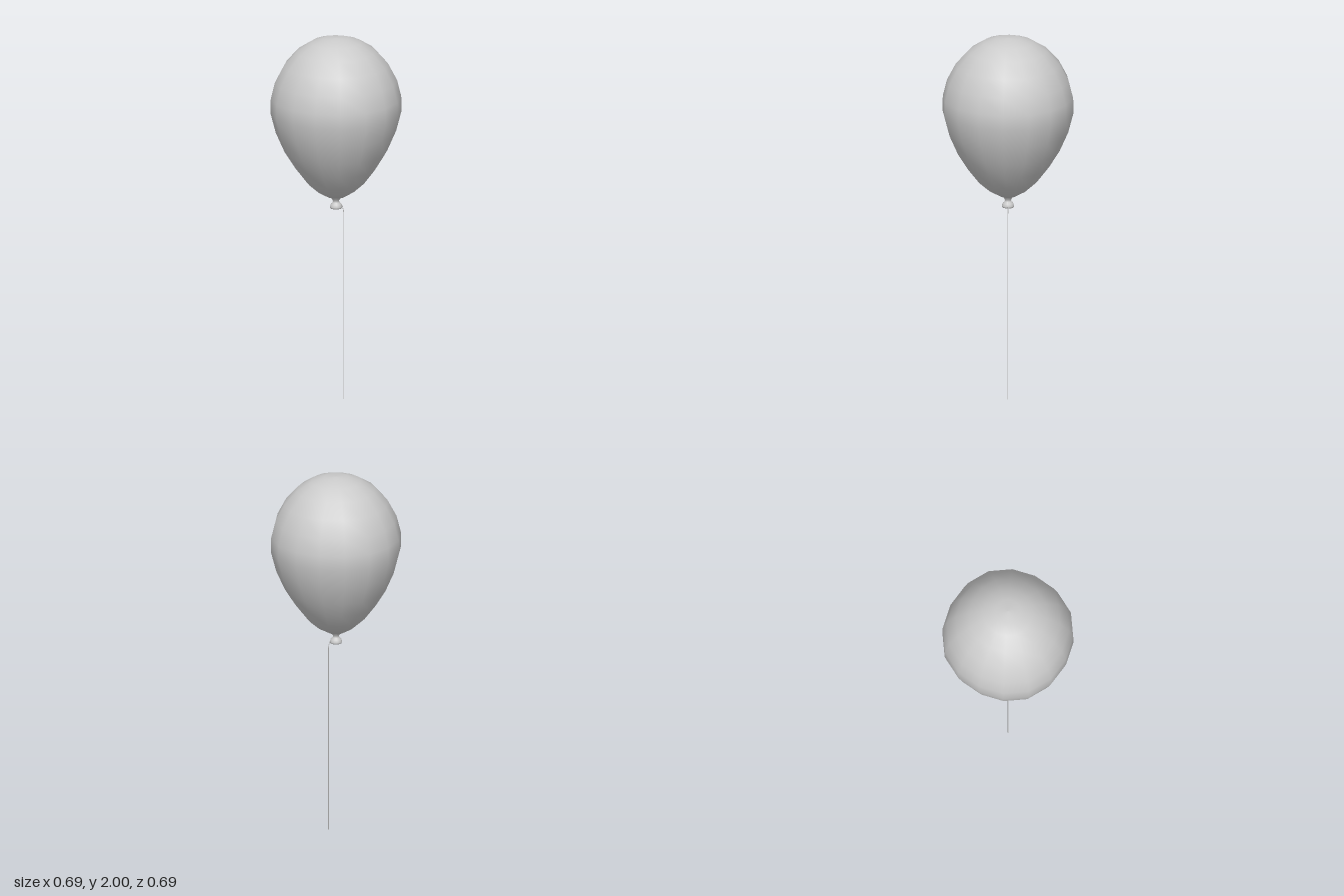
import * as THREE from 'three';

const material = new THREE.MeshStandardMaterial({ color: 0xcccccc, side: THREE.DoubleSide });
const points = (list) => list.map(([r, y]) => new THREE.Vector2(r, y));

function addMesh(group, name, geometry) {
  const mesh = new THREE.Mesh(geometry, material);
  mesh.name = name;
  group.add(mesh);
}

export function createModel() {
  const model = new THREE.Group();
  model.name = 'balloon';

  // Egg-shaped body, sixteen sides, very slightly squared between the axes
  const body = new THREE.LatheGeometry(points([
    [0, 1.115], [0.045, 1.122], [0.1, 1.155], [0.155, 1.205], [0.215, 1.285],
    [0.27, 1.375], [0.315, 1.48], [0.343, 1.59], [0.341, 1.67], [0.319, 1.76],
    [0.273, 1.85], [0.205, 1.927], [0.13, 1.975], [0.065, 1.995], [0, 2],
  ]), 16);
  const pos = body.attributes.position;
  for (let i = 0; i < pos.count; i++) {
    const x = pos.getX(i), z = pos.getZ(i);
    const k = 1.005 + 0.014 * (1 - Math.cos(4 * Math.atan2(z, x)));
    pos.setX(i, x * k);
    pos.setZ(i, z * k);
  }
  addMesh(model, 'body', body);

  // Pinched neck flaring into a rolled lip with a hollow underside
  addMesh(model, 'knot', new THREE.LatheGeometry(points([
    [0, 1.08], [0.016, 1.068], [0.025, 1.057], [0.031, 1.058], [0.033, 1.066],
    [0.028, 1.08], [0.018, 1.09], [0.016, 1.098], [0.022, 1.109], [0.032, 1.122],
  ]), 16));

  // Thin string, tied at the neck and hanging straight down
  const string = new THREE.CurvePath();
  const knotEnd = new THREE.Vector3(0.014, 1.092, -0.009);
  const bend = new THREE.Vector3(0.037, 1.03, -0.018);
  const foot = new THREE.Vector3(0.037, 0, -0.018);
  string.add(new THREE.QuadraticBezierCurve3(knotEnd, new THREE.Vector3(0.034, 1.075, -0.018), bend));
  string.add(new THREE.LineCurve3(bend, foot));
  addMesh(model, 'string', new THREE.TubeGeometry(string, 64, 0.002, 6));

  return model;
}
